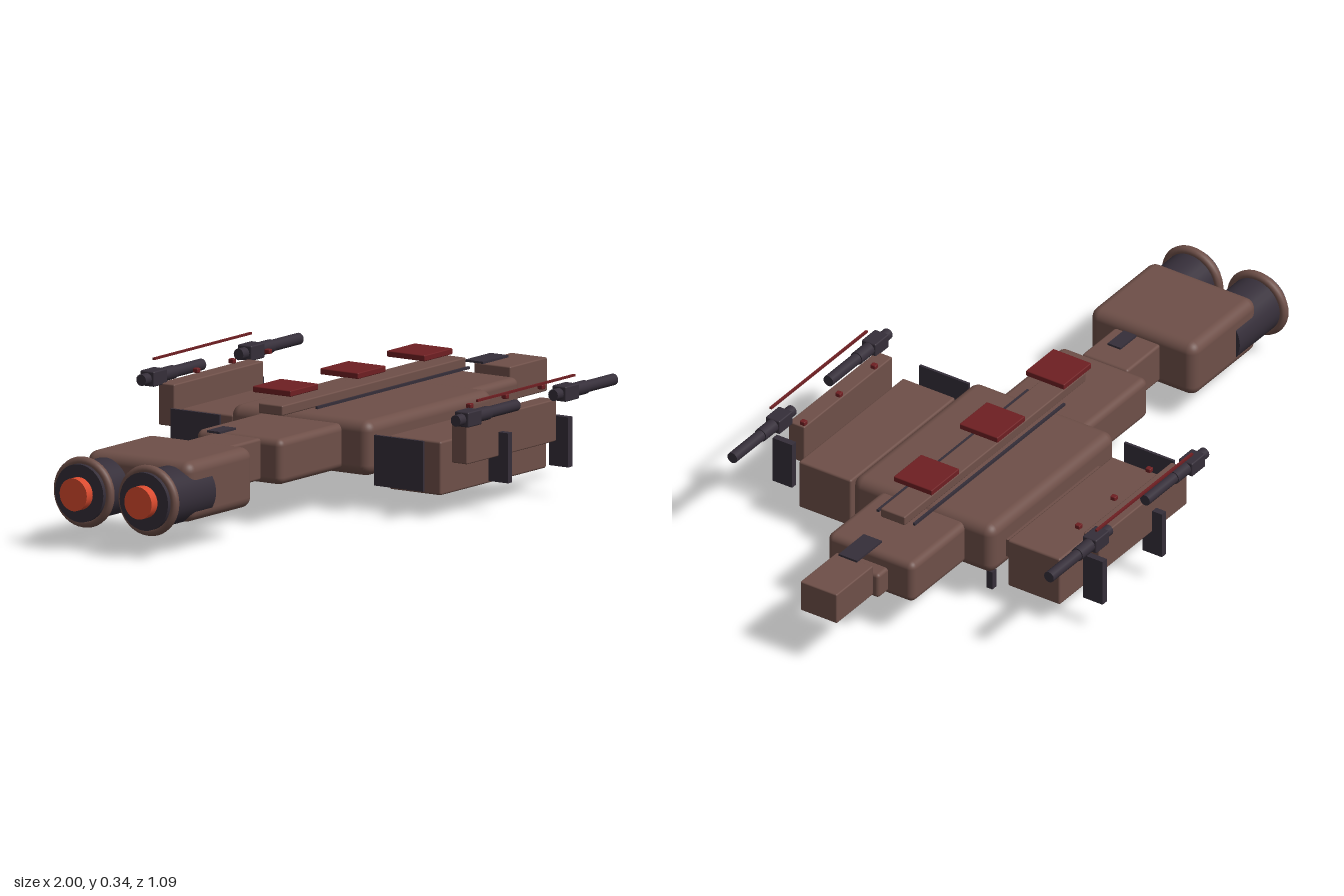
import * as THREE from 'three';
import { RoundedBoxGeometry } from 'three/addons/geometries/RoundedBoxGeometry.js';

const mat = (name, color) => {
  const m = new THREE.MeshStandardMaterial({ color });
  m.name = name;
  return m;
};

export function createModel() {
  const hullBrown = mat('hullBrown', 0x6e4f48);
  const gunmetal = mat('gunmetal', 0x352e39);
  const darkRed = mat('darkRed', 0x6e1f22);
  const glow = mat('engineGlow', 0xd94a2e);
  const model = new THREE.Group();
  model.name = 'spaceship';

  const add = (name, geometry, material, x, y, z) => {
    const mesh = new THREE.Mesh(geometry, material);
    mesh.name = name;
    mesh.position.set(x, y, z);
    model.add(mesh);
    return mesh;
  };
  // Box given by its limits on each axis; r rounds the edges
  const box = (name, material, [x0, x1], [y0, y1], [z0, z1], r = 0) => {
    const s = [x1 - x0, y1 - y0, z1 - z0];
    const g = r ? new RoundedBoxGeometry(...s, 4, r) : new THREE.BoxGeometry(...s);
    return add(name, g, material, (x0 + x1) / 2, (y0 + y1) / 2, (z0 + z1) / 2);
  };
  // Cylinder lying along x
  const rod = (name, material, x0, x1, y, z, r, sides = 32) => {
    const g = new THREE.CylinderGeometry(r, r, x1 - x0, sides).rotateZ(-Math.PI / 2);
    return add(name, g, material, (x0 + x1) / 2, y, z);
  };

  // Hull from nose to engine block
  box('centralHull', hullBrown, [-0.088, 0.507], [0.1, 0.252], [-0.232, 0.232], 0.03);
  box('fuselage', hullBrown, [-0.375, 0.755], [0.112, 0.238], [-0.142, 0.142], 0.02);
  box('noseStub', hullBrown, [0.74, 0.8], [0.125, 0.2], [-0.06, 0.06], 0.01);
  box('noseBlock', hullBrown, [0.825, 1], [0.153, 0.246], [-0.06, 0.06], 0.004);
  box('neck', hullBrown, [-0.53, -0.37], [0.12, 0.236], [-0.075, 0.075], 0.008);
  box('engineBlock', hullBrown, [-0.852, -0.545], [0.084, 0.25], [-0.174, 0.174], 0.03);

  // Raised spine, hatches and red deck plates
  box('spine', hullBrown, [-0.222, 0.645], [0.27, 0.298], [-0.04, 0.04], 0.004);
  box('neckHatch', gunmetal, [-0.492, -0.415], [0.26, 0.266], [-0.021, 0.021]);
  box('noseHatch', gunmetal, [0.74, 0.86], [0.264, 0.27], [-0.03, 0.03]);
  for (const x of [-0.15, 0.168, 0.483])
    box('deckPlate', darkRed, [x - 0.066, x + 0.066], [0.324, 0.341], [-0.063, 0.063], 0.003);

  for (const s of [1, -1]) {
    const side = (a, b) => (s > 0 ? [a, b] : [-b, -a]);

    // Engines
    rod('engine', gunmetal, -0.972, -0.745, 0.157, s * 0.107, 0.08);
    const ring = new THREE.TorusGeometry(0.085, 0.013, 12, 40).rotateY(Math.PI / 2);
    add('engineRing', ring, hullBrown, -0.948, 0.157, s * 0.107);
    rod('engineGlow', glow, -1, -0.96, 0.157, s * 0.107, 0.045);

    // Side pod and its link to the hull
    box('sidePod', hullBrown, [-0.03, 0.47], [0.063, 0.211], side(0.257, 0.429), 0.006);
    box('podLink', hullBrown, [0, 0.44], [0.133, 0.187], side(0.22, 0.265));
    box('podRearPlate', gunmetal, [-0.098, -0.09], [0.083, 0.222], side(0.255, 0.418));

    // Outer gun mount with posts
    box('gunMount', hullBrown, [-0.022, 0.4], [0.156, 0.272], side(0.458, 0.51), 0.004);
    for (const x of [0.136, 0.42])
      box('mountPost', gunmetal, [x - 0.01, x + 0.01], [0.085, 0.223], side(0.478, 0.542));

    // Guns
    for (const x of [-0.09, 0.37]) {
      rod('gunBreech', gunmetal, x, x + 0.04, 0.288, s * 0.52, 0.016, 16);
      box('gunBody', gunmetal, [x + 0.028, x + 0.092], [0.267, 0.309], side(0.497, 0.543), 0.004);
      rod('gunSleeve', gunmetal, x + 0.09, x + 0.15, 0.288, s * 0.52, 0.019, 16);
      rod('gunBarrel', gunmetal, x + 0.14, x + 0.285, 0.288, s * 0.52, 0.016, 16);
    }

    // Red trim rail and marker lights
    box('trimRail', darkRed, [-0.01, 0.45], [0.33, 0.336], side(0.531, 0.538));
    for (const x of [0.075, 0.243, 0.413])
      box('markerLight', darkRed, [x - 0.008, x + 0.008], [0.291, 0.304], side(0.443, 0.46), 0.003);

    // Spine rail and landing leg
    box('spineRail', gunmetal, [-0.09, 0.63], [0.271, 0.278], side(0.056, 0.063));
    box('landingLeg', gunmetal, [0.41, 0.43], [0, 0.055], side(0.16, 0.18));
  }
  return model;
}
